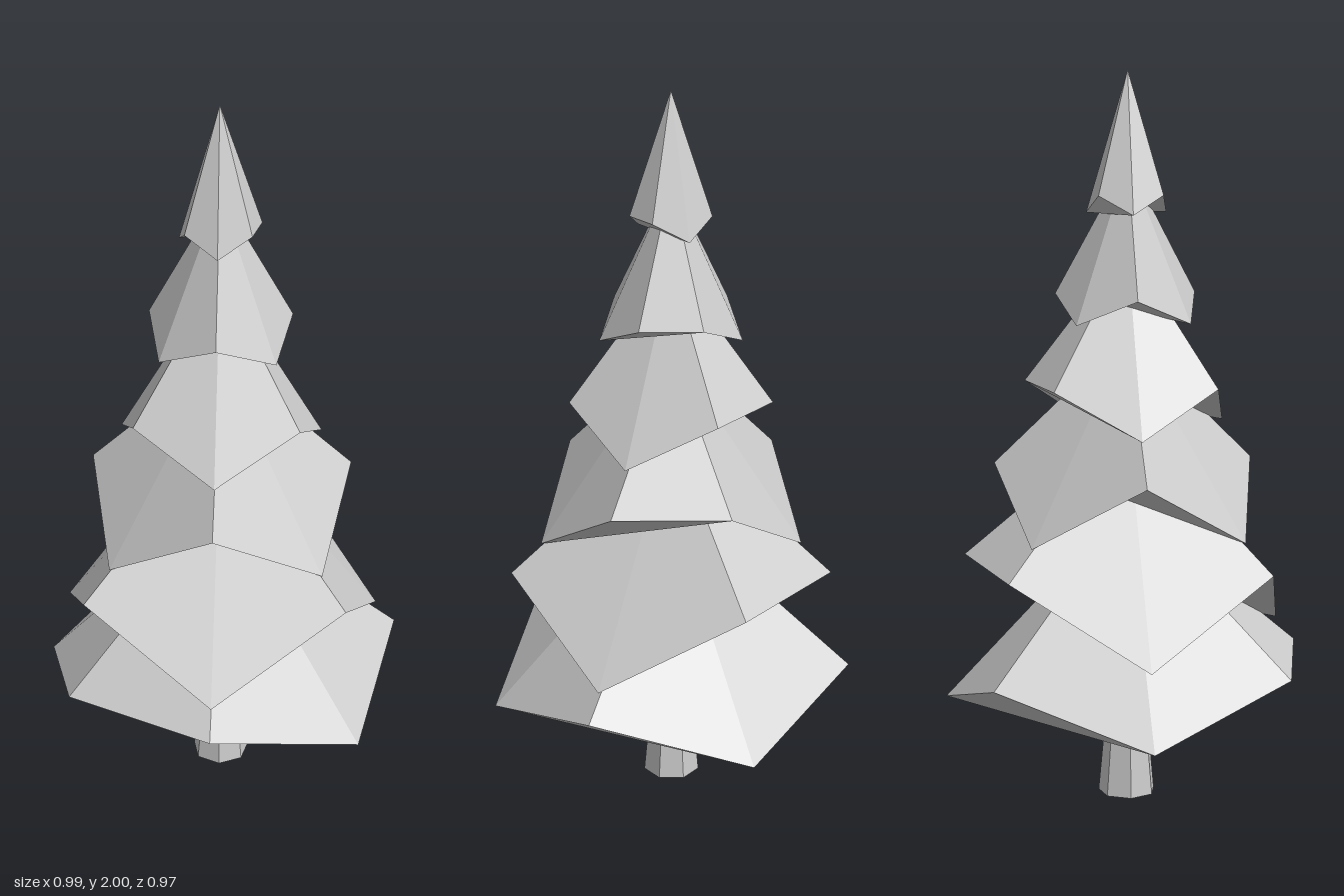
import * as THREE from 'three';

const SIDES = 7;
const CENTER_Z = 0.025;

// Seven-sided cone whose rim corners alternate high and low.
// `start` is the corner where the high-low pattern begins (0 = back corner).
function tierGeometry({ r, low, high, apex, start }) {
  const rim = [];
  for (let i = 0; i < SIDES; i++) {
    const a = (i / SIDES) * Math.PI * 2;
    const step = (i - start + SIDES) % SIDES;
    rim.push([r * Math.sin(a), step % 2 ? low : high, -r * Math.cos(a)]);
  }
  const pos = [];
  // sloping faces
  for (let i = 0; i < SIDES; i++) {
    pos.push(0, apex, 0, ...rim[(i + 1) % SIDES], ...rim[i]);
  }
  // underside, fanned from the back corner
  for (let i = 1; i < SIDES - 1; i++) {
    pos.push(...rim[0], ...rim[i], ...rim[i + 1]);
  }
  const geo = new THREE.BufferGeometry();
  geo.setAttribute('position', new THREE.Float32BufferAttribute(pos, 3));
  geo.computeVertexNormals();
  return geo;
}

export function createModel() {
  const group = new THREE.Group();
  group.name = 'pineTree';
  const material = new THREE.MeshStandardMaterial({ color: 0xcccccc, flatShading: true });

  // tapered trunk
  const height = 0.36;
  const trunk = new THREE.Mesh(new THREE.CylinderGeometry(0.047, 0.08, height, SIDES), material);
  trunk.name = 'trunk';
  trunk.position.set(0, height / 2, CENTER_Z);
  trunk.rotation.y = Math.PI;
  group.add(trunk);

  // branch tiers, bottom to top
  const tiers = [
    { r: 0.51, low: 0.26, high: 0.39, apex: 0.82, start: 4 },
    { r: 0.453, low: 0.46, high: 0.67, apex: 1.06, start: 0 },
    { r: 0.368, low: 0.75, high: 0.93, apex: 1.29, start: 1 },
    { r: 0.282, low: 1.04, high: 1.16, apex: 1.53, start: 0 },
    { r: 0.197, low: 1.33, high: 1.40, apex: 1.76, start: 1 },
    { r: 0.112, low: 1.62, high: 1.67, apex: 2.0, start: 2 },
  ];
  tiers.forEach((tier, i) => {
    const mesh = new THREE.Mesh(tierGeometry(tier), material);
    mesh.name = `branchTier${i + 1}`;
    mesh.position.z = CENTER_Z;
    group.add(mesh);
  });

  return group;
}
